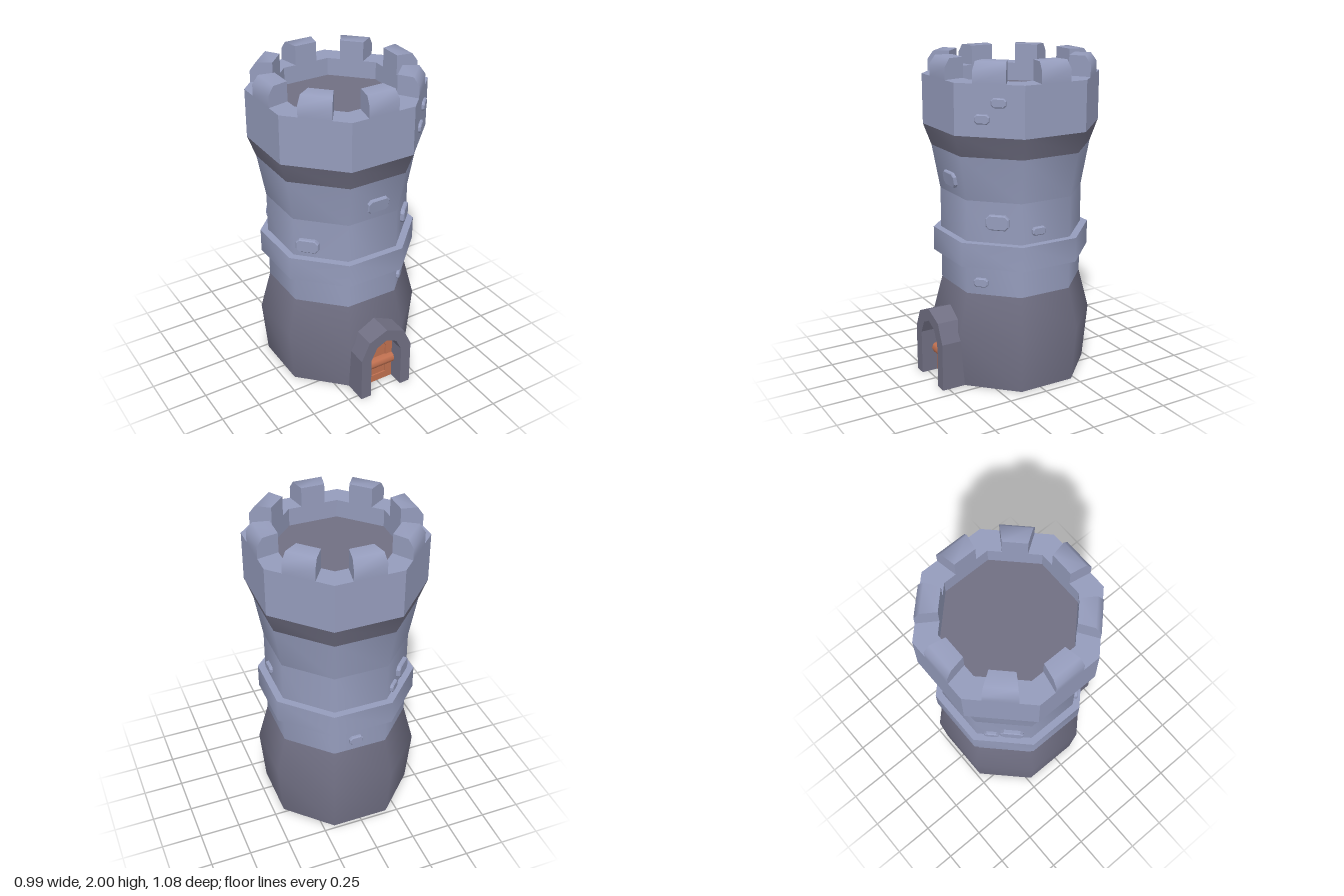
import * as THREE from 'three';
import { toCreasedNormals } from 'three/addons/utils/BufferGeometryUtils.js';

const mat = (name, color) => {
  const m = new THREE.MeshStandardMaterial({ color });
  m.name = name;
  return m;
};
const rad = THREE.MathUtils.degToRad;

export function createModel() {
  const model = new THREE.Group();
  model.name = 'tower';
  const stone = mat('lightStone', 0x959cbc);
  const dark = mat('darkStone', 0x706f83);
  const wood = mat('wood', 0xc07050);

  const add = (name, geo, material, parent) => {
    const mesh = new THREE.Mesh(geo, material);
    mesh.name = name;
    parent.add(mesh);
    return mesh;
  };
  const polygon = (pts) => new THREE.Shape(pts.map(([x, y]) => new THREE.Vector2(x, y)));
  const extrude = (shape, depth) => new THREE.ExtrudeGeometry(shape, { depth, bevelEnabled: false });

  // Octagonal tower; profiles list [distance to the flat side, height]
  const tower = new THREE.Group();
  tower.name = 'towerBody';
  tower.position.z = -0.045;
  model.add(tower);
  const octagon = (name, profile, material, crease = 50) => {
    const pts = profile.map(([a, y]) => new THREE.Vector2(a / Math.cos(Math.PI / 8), y));
    const geo = new THREE.LatheGeometry(pts, 8, Math.PI / 8);
    add(name, toCreasedNormals(geo, rad(crease)), material, tower);
  };
  octagon('base', [[0, 0], [0.435, 0], [0.465, 0.35], [0.405, 0.6]], dark);
  octagon('lowerShaft', [[0.405, 0.6], [0.405, 1.18]], stone);
  octagon('beltCourse', [[0.4, 0.78], [0.448, 0.78], [0.448, 0.93], [0.4, 0.93]], stone);
  octagon('upperShaft', [[0.405, 1.18], [0.45, 1.45]], stone);
  octagon('corbel', [[0.45, 1.45], [0.495, 1.58]], dark);
  octagon('parapet', [[0.495, 1.58], [0.495, 1.88], [0.365, 1.88], [0.365, 1.77]], stone, 30);
  octagon('roofFloor', [[0.365, 1.77], [0, 1.77]], dark, 30);

  // Merlons: one per side, tapering towards the tower axis
  const section = polygon([[0.365, 1.88], [0.495, 1.88], [0.495, 1.95], [0.46, 2], [0.365, 2]]);
  let merlonGeo = extrude(section, 2).translate(0, 0, -1).rotateY(-Math.PI / 2);
  const p = merlonGeo.attributes.position;
  for (let i = 0; i < p.count; i++) p.setX(i, p.getX(i) * p.getZ(i) * 0.197);
  merlonGeo = toCreasedNormals(merlonGeo, rad(60));
  for (let i = 0; i < 8; i++) add('merlon', merlonGeo, stone, tower).rotation.y = i * Math.PI / 4;

  // Protruding stones: [side angle, offset along side, height, wall distance, width, height, lean]
  const stoneGeo = (w, h) => {
    const b = 0.006, c = h * 0.2, x = w / 2 - b, y = h / 2 - b;
    const shape = polygon([[-x + c, -y], [x - c, -y], [x, -y + c], [x, y - c],
      [x - c, y], [-x + c, y], [-x, y - c], [-x, -y + c]]);
    return new THREE.ExtrudeGeometry(shape, {
      depth: 0.034, bevelEnabled: true, bevelSize: b, bevelThickness: b, bevelSegments: 1,
    }).translate(0, 0, -0.02);
  };
  [
    [0, 0.015, 1.28, 0.422, 0.145, 0.09, 0.165],
    [-45, -0.08, 1.012, 0.41, 0.14, 0.085, 0],
    [45, 0.025, 1.06, 0.41, 0.14, 0.09, 0],
    [45, -0.078, 0.678, 0.405, 0.088, 0.055, 0],
    [90, -0.055, 1.005, 0.405, 0.09, 0.05, 0],
    [180, -0.03, 0.678, 0.405, 0.088, 0.055, 0],
    [225, 0.05, 1.02, 0.41, 0.14, 0.085, 0],
    [225, -0.077, 0.97, 0.405, 0.088, 0.052, 0],
    [45, 0.057, 1.778, 0.492, 0.09, 0.055, 0],
    [45, -0.04, 1.683, 0.492, 0.09, 0.055, 0],
  ].forEach(([angle, t, y, dist, w, h, lean]) => {
    const side = new THREE.Group();
    side.name = 'protrudingStone';
    side.rotation.y = rad(angle);
    tower.add(side);
    const block = add('stoneBlock', stoneGeo(w, h), stone, side);
    block.position.set(t, y, dist);
    block.rotation.x = lean;
  });

  // Pointed outline, mirrored about x = 0, listed from lower right to lower left
  const pointed = (half, [bottom, spring], [sx, sy], top) => [
    [half, bottom], [half, spring], [sx, sy], [0, top],
    [-sx, sy], [-half, spring], [-half, bottom],
  ];
  const outer = pointed(0.18, [0, 0.3], [0.125, 0.42], 0.472);
  const opening = pointed(0.11, [0, 0.28], [0.07, 0.362], 0.395);
  const panel = pointed(0.062, [0.05, 0.26], [0.042, 0.325], 0.345);

  // Doorway surround
  const entrance = new THREE.Group();
  entrance.name = 'entrance';
  model.add(entrance);
  add('doorArch', extrude(polygon([...outer, ...[...opening].reverse()]), 0.24).translate(0, 0, 0.3),
    dark, entrance);

  // Door with a recessed panel and a round crossbar
  const frame = polygon(opening);
  frame.holes.push(polygon(panel));
  add('doorFrame', extrude(frame, 0.04).translate(0, 0, 0.398), wood, entrance);
  add('doorPanel', extrude(polygon(panel), 0.035).translate(0, 0, 0.394), wood, entrance);
  const bar = new THREE.CylinderGeometry(0.036, 0.036, 0.218, 8).rotateZ(Math.PI / 2);
  add('doorBar', bar, wood, entrance).position.set(0, 0.155, 0.435);

  return model;
}
